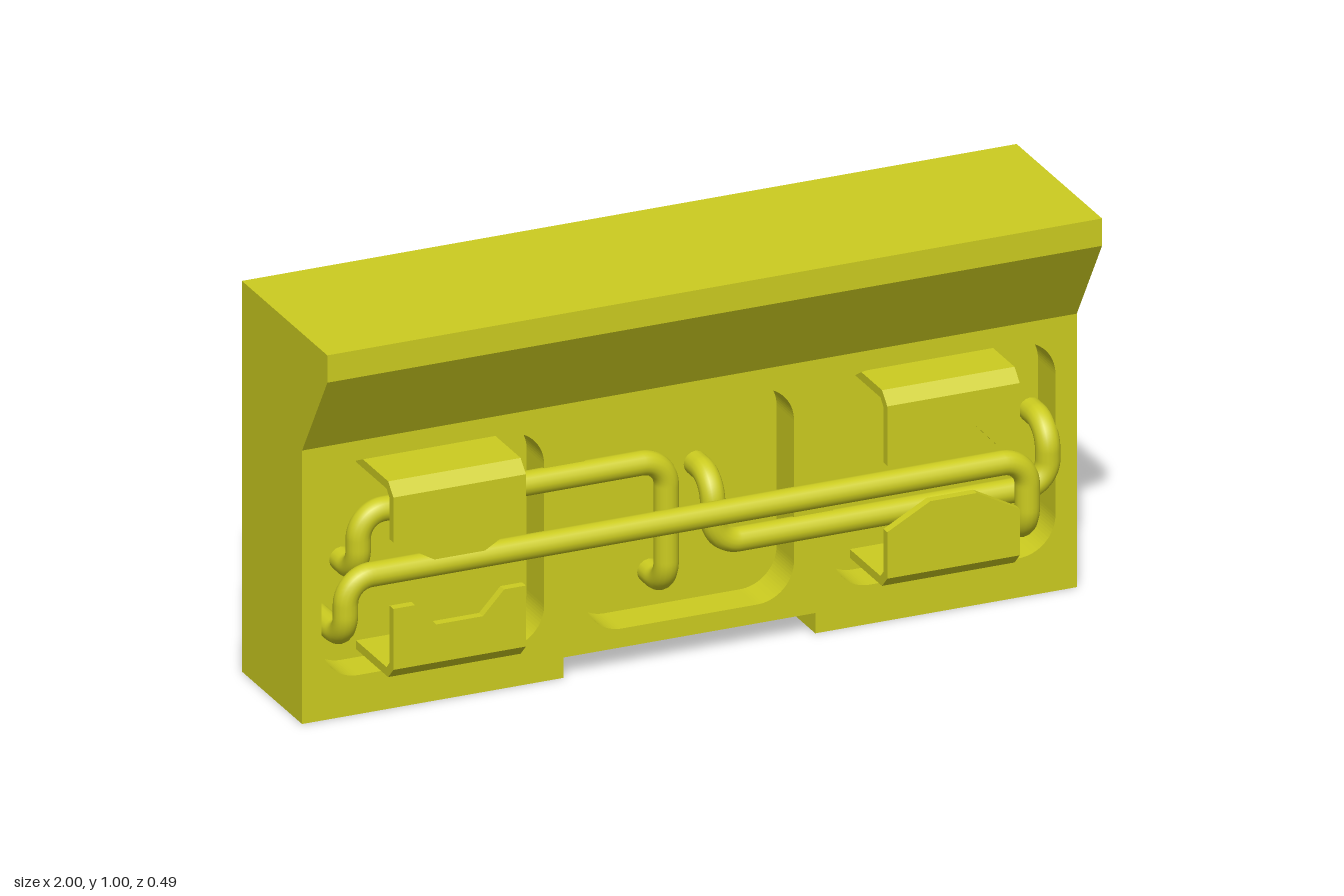
import * as THREE from 'three';

const material = new THREE.MeshStandardMaterial({ color: 0xcccc20 });

function addMesh(parent, name, geometry) {
  const mesh = new THREE.Mesh(geometry, material);
  mesh.name = name;
  parent.add(mesh);
  return mesh;
}

const polygon = (pts) => new THREE.Shape(pts.map(([x, y]) => new THREE.Vector2(x, y)));

// Extrude an (x, y) outline between two z values
function extrudeZ(shape, z0, z1) {
  const g = new THREE.ExtrudeGeometry(shape, { depth: z1 - z0, bevelEnabled: false, curveSegments: 10 });
  return g.translate(0, 0, z0);
}

// Extrude a (z, y) profile along x, centred on cx
function extrudeX(pts, width, cx) {
  const g = new THREE.ExtrudeGeometry(polygon(pts), { depth: width, bevelEnabled: false });
  return g.translate(0, 0, -width / 2).rotateY(-Math.PI / 2).translate(cx, 0, 0);
}

function roundedHole(x0, x1, y0, y1, r) {
  const p = new THREE.Path();
  p.absarc(x1 - r, y1 - r, r, 0, Math.PI / 2);
  p.absarc(x0 + r, y1 - r, r, Math.PI / 2, Math.PI);
  p.absarc(x0 + r, y0 + r, r, Math.PI, 1.5 * Math.PI);
  p.absarc(x1 - r, y0 + r, r, 1.5 * Math.PI, 2 * Math.PI);
  p.closePath();
  return p;
}

// Round bar following straight runs joined by rounded bends
function rodGeometry(points, radius = 0.03, bend = 0.065) {
  const v = points.map((p) => new THREE.Vector3(...p));
  const path = new THREE.CurvePath();
  let from = v[0];
  for (let i = 1; i < v.length - 1; i++) {
    const toPrev = v[i - 1].clone().sub(v[i]).setLength(bend);
    const toNext = v[i + 1].clone().sub(v[i]).setLength(bend);
    const a = v[i].clone().add(toPrev);
    const b = v[i].clone().add(toNext);
    path.add(new THREE.LineCurve3(from, a));
    // cubic handles approximating a quarter circle
    const c1 = a.clone().addScaledVector(toPrev, -0.5523);
    const c2 = b.clone().addScaledVector(toNext, -0.5523);
    path.add(new THREE.CubicBezierCurve3(a, c1, c2, b));
    from = b;
  }
  path.add(new THREE.LineCurve3(from, v[v.length - 1]));
  return new THREE.TubeGeometry(path, 240, radius, 16, false);
}

// Bent sheet clip: s = 1 hangs down from y, s = -1 stands up from y.
// Its free edge runs from edgeY at the sides to midY between inner and outer x offsets.
function makeClip(name, cx, y, s, edgeY, midY, outer, inner) {
  const clip = new THREE.Group();
  clip.name = name;
  const w = 0.342, h = w / 2, t = 0.022, front = 0.215;
  const joinY = y - s * 0.04;
  addMesh(clip, 'clipArm', extrudeX([
    [-0.01, y], [0.185, y], [front, y - s * 0.03], [front, joinY],
    [front - t, joinY], [0.176, y - s * t], [-0.01, y - s * t],
  ], w, cx));
  const edge = [[-h, edgeY], [-outer, edgeY], [-inner, midY], [inner, midY], [outer, edgeY], [h, edgeY]]
    .filter(([x], i) => outer < h || (i !== 0 && i !== 5));
  const plate = [[h, joinY], [-h, joinY], ...edge].map(([x, py]) => [x + cx, py]);
  addMesh(clip, 'clipPlate', extrudeZ(polygon(plate), front - t, front));
  return clip;
}

export function createModel() {
  const model = new THREE.Group();
  model.name = 'barrierPanel';

  // Panel below the ledge, with a notch in its bottom edge
  const outline = () => polygon([
    [-1, 0], [-0.325, 0], [-0.325, 0.052], [0.325, 0.052], [0.325, 0], [1, 0], [1, 0.7], [-1, 0.7],
  ]);
  addMesh(model, 'backPanel', extrudeZ(outline(), -0.245, 0));

  // Front layer with three rounded recesses
  const frontShape = outline();
  for (const [x0, x1] of [[-0.95, -0.375], [-0.27, 0.27], [0.37, 0.945]]) {
    frontShape.holes.push(roundedHole(x0, x1, 0.1, 0.65, 0.095));
  }
  addMesh(model, 'recessedFront', extrudeZ(frontShape, 0, 0.1));

  // Overhanging top ledge
  addMesh(model, 'topLedge', extrudeX([
    [-0.245, 0.7], [0.1, 0.7], [0.245, 0.93], [0.245, 1], [-0.245, 1],
  ], 2, 0));

  // Handle bars, their ends bent back into the recesses
  const handles = new THREE.Group();
  handles.name = 'handles';
  model.add(handles);
  const end = -0.01;
  addMesh(handles, 'longHandle', rodGeometry([
    [-0.915, 0.225, end], [-0.915, 0.225, 0.16], [-0.915, 0.38, 0.16],
    [0.845, 0.38, 0.16], [0.845, 0.19, 0.16], [0.845, 0.19, end],
  ]));
  addMesh(handles, 'upperHandle', rodGeometry([
    [-0.855, 0.36, end], [-0.855, 0.36, 0.1], [-0.855, 0.515, 0.1],
    [-0.06, 0.515, 0.1], [-0.06, 0.19, 0.1], [-0.06, 0.19, end],
  ]));
  addMesh(handles, 'lowerHandle', rodGeometry([
    [0.06, 0.445, end], [0.06, 0.445, 0.1], [0.06, 0.277, 0.1],
    [0.925, 0.277, 0.1], [0.925, 0.43, 0.1], [0.925, 0.43, end],
  ]));

  // Sheet clips in the outer recesses: one tabbed and one notched per pair
  model.add(
    makeClip('upperRightClip', -0.645, 0.622, 1, 0.477, 0.415, 0.171, 0.065),
    makeClip('lowerRightClip', -0.645, 0.121, -1, 0.307, 0.248, 0.115, 0.06),
    makeClip('upperLeftClip', 0.63, 0.632, 1, 0.45, 0.51, 0.115, 0.06),
    makeClip('lowerLeftClip', 0.63, 0.131, -1, 0.28, 0.34, 0.171, 0.06),
  );

  return model;
}
